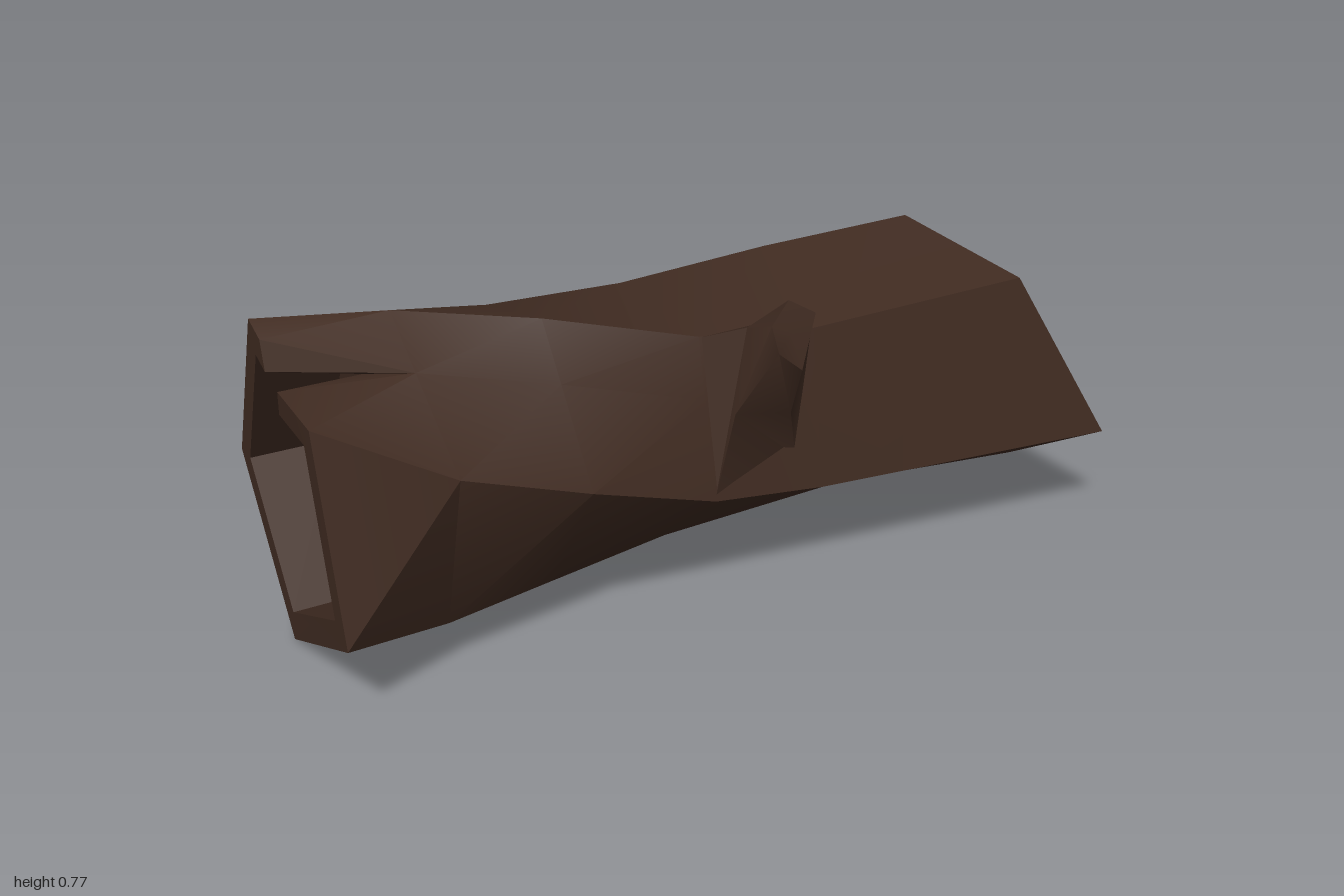
import * as THREE from 'three';
import { toCreasedNormals } from 'three/addons/utils/BufferGeometryUtils.js';

const v = (p) => new THREE.Vector3(...p);

// The five long edges of the twisted trunk, each running from +x to -x
const edges = [
  [[0.75, 0.665, 0.28], [0.2, 0.63, 0.23], [-0.08, 0.655, 0.2], [-0.4, 0.72, 0.08], [-0.7, 0.76, -0.03], [-0.96, 0.74, -0.18]],
  [[0.975, 0.25, 0.375], [0.2, 0.255, 0.29], [-0.08, 0.285, 0.28], [-0.4, 0.4, 0.31], [-0.7, 0.51, 0.315], [-0.98, 0.66, 0.25]],
  [[1, 0.03, 0.01], [0.3, 0.095, 0.01], [-0.08, 0.085, 0.04], [-0.4, 0.085, 0.1], [-0.7, 0.115, 0.2], [-0.97, 0.2, 0.335]],
  [[0.79, 0.305, -0.315], [0.3, 0.3, -0.285], [-0.08, 0.24, -0.278], [-0.4, 0.17, -0.235], [-0.7, 0.12, -0.18], [-0.96, 0, -0.085]],
  [[0.73, 0.7, -0.15], [0.3, 0.695, -0.14], [-0.08, 0.66, -0.17], [-0.4, 0.65, -0.22], [-0.7, 0.56, -0.305], [-0.95, 0.34, -0.4]],
];

// One cross-section; points 1 and 2 are the two lips of the split
function section(i) {
  const [a, e, d, c, b] = edges.map((edge) => v(edge[i]));
  const last = i === 5;
  const p = a.clone().lerp(e, last ? 0.2 : 0.38);
  const q = last ? new THREE.Vector3(-1, 0.7, 0.13) : p.clone();
  return [a, p, q, e, d, c, b];
}

// Shrink a ring towards the middle of its corners and slide it along x
function shrink(ring, scale, dx = 0, corners = ring) {
  const mid = new THREE.Vector3();
  corners.forEach((p) => mid.addScaledVector(p, 1 / corners.length));
  return ring.map((p) => {
    const r = p.clone().lerp(mid, 1 - scale);
    r.x += dx;
    return r;
  });
}

// Skin through rings, counter-clockwise as seen from the first one
function skin(rings, crease, skipColumn = -1, extraQuads = []) {
  const pos = [];
  const tri = (a, b, c) => {
    if (new THREE.Triangle(a, b, c).getArea() < 1e-7) return;
    [a, b, c].forEach((p) => pos.push(p.x, p.y, p.z));
  };
  const quad = (a, b, c, d) => { tri(a, b, c); tri(a, c, d); };
  for (let i = 0; i < rings.length - 1; i++) {
    const n = rings[i].length;
    for (let j = 0; j < n; j++) {
      if (j === skipColumn) continue;
      const k = (j + 1) % n;
      quad(rings[i][j], rings[i + 1][j], rings[i + 1][k], rings[i][k]);
    }
  }
  extraQuads.forEach((q) => quad(...q));
  const geo = new THREE.BufferGeometry();
  geo.setAttribute('position', new THREE.Float32BufferAttribute(pos, 3));
  return toCreasedNormals(geo, crease);
}

function trunkGeometry() {
  const outer = [0, 1, 2, 3, 4, 5].map(section);
  const hollow = (i, scale, dx) => shrink(outer[i], scale, dx, [0, 3, 4, 5, 6].map((k) => outer[i][k]));
  const rim = hollow(5, 0.8);
  const floor = hollow(5, 0.8, 0.195);
  // The two lips meet at the inner tip of the split
  floor[1].lerp(floor[2], 0.5);
  floor[2].copy(floor[1]);
  // Hollow end, outside, hollow end: one continuous sweep
  const rings = [
    hollow(0, 0, -0.33), hollow(0, 0.5, -0.23), hollow(0, 0.82),
    ...outer,
    rim, floor, shrink(floor, 0, 0.03),
  ];
  // The strip between the lips stays open and gets two cut faces
  return skin(rings, 0.6, 1, [
    [outer[4][1], outer[5][1], rim[1], floor[1]],
    [floor[2], rim[2], outer[5][2], outer[4][2]],
  ]);
}

// Broken branch stubs: tip, neck and a flared base on one side of the trunk
const stubs = {
  frontStub: [
    [[0.1, 0.74, 0.385], [0.04, 0.775, 0.37], [-0.01, 0.73, 0.385], [0, 0.67, 0.4], [0.06, 0.62, 0.4]],
    [[0.14, 0.67, 0.29], [0.08, 0.695, 0.28], [0, 0.685, 0.27], [-0.045, 0.5, 0.3], [0.09, 0.48, 0.315]],
    [[0.2, 0.625, 0.225], [0.08, 0.635, 0.205], [-0.08, 0.65, 0.195], [-0.08, 0.285, 0.275], [0.14, 0.34, 0.262]],
  ],
  backStub: [
    [[0.14, 0.545, -0.38], [0.25, 0.545, -0.37], [0.27, 0.475, -0.375], [0.2, 0.44, -0.34], [0.14, 0.475, -0.38]],
    [[0.11, 0.63, -0.26], [0.27, 0.635, -0.26], [0.28, 0.46, -0.29], [0.2, 0.42, -0.28], [0.11, 0.45, -0.29]],
    [[0.06, 0.67, -0.15], [0.34, 0.69, -0.138], [0.3, 0.36, -0.255], [0.17, 0.36, -0.25], [0.05, 0.36, -0.245]],
  ],
  lowerStub: [
    [[-0.2, 0.075, -0.275], [-0.15, 0.12, -0.29], [-0.14, 0.05, -0.17], [-0.2, 0.02, -0.155], [-0.22, 0.04, -0.235]],
    [[-0.27, 0.13, -0.255], [-0.12, 0.18, -0.283], [-0.1, 0.09, -0.1], [-0.26, 0.075, -0.09], [-0.29, 0.1, -0.18]],
    [[-0.4, 0.175, -0.23], [-0.08, 0.24, -0.275], [-0.05, 0.095, 0.03], [-0.38, 0.092, 0.09], [-0.4, 0.135, -0.07]],
  ],
};

export function createModel() {
  const group = new THREE.Group();
  group.name = 'hollowLog';
  const bark = new THREE.MeshStandardMaterial({ color: 0x412c22 });
  bark.name = 'darkBark';

  const add = (name, geo) => {
    const mesh = new THREE.Mesh(geo, bark);
    mesh.name = name;
    group.add(mesh);
  };
  add('trunk', trunkGeometry());
  for (const [name, points] of Object.entries(stubs)) {
    const rings = points.map((ring) => ring.map(v));
    add(name, skin([shrink(rings[0], 0), ...rings], 0.85));
  }
  return group;
}
